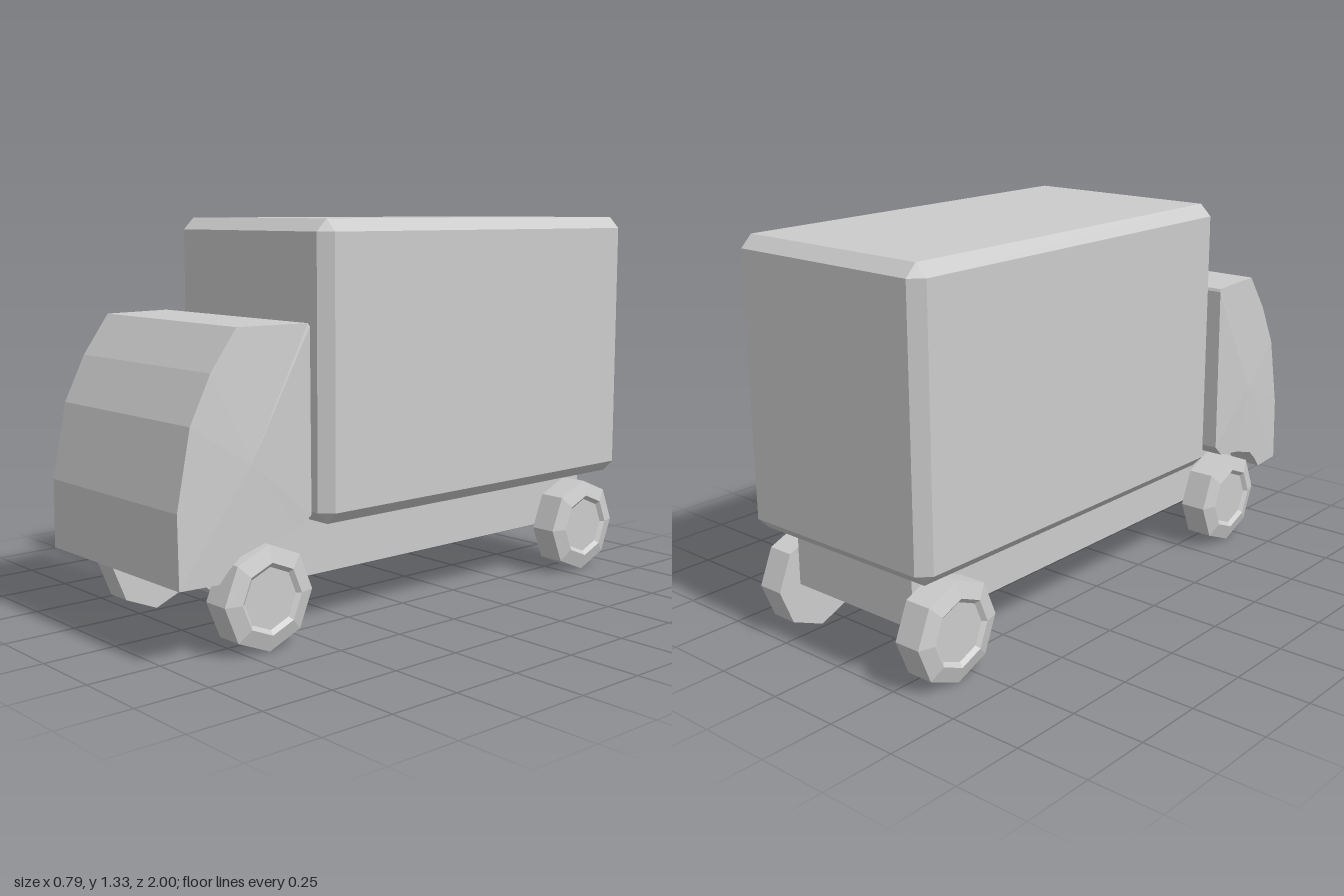
import * as THREE from 'three';
import { ConvexGeometry } from 'three/addons/geometries/ConvexGeometry.js';

const material = new THREE.MeshStandardMaterial({ color: 0xcccccc, flatShading: true });

function add(parent, name, geometry, x = 0, y = 0, z = 0) {
  const mesh = new THREE.Mesh(geometry, material);
  mesh.name = name;
  mesh.position.set(x, y, z);
  parent.add(mesh);
  return mesh;
}

// Box with every edge cut at 45 degrees: three points at each corner
function chamferedBox(w, h, d, c) {
  const points = [];
  for (const sx of [-1, 1]) for (const sy of [-1, 1]) for (const sz of [-1, 1]) {
    for (let axis = 0; axis < 3; axis++) {
      const inset = [c, c, c];
      inset[axis] = 0;
      points.push(new THREE.Vector3(
        sx * (w / 2 - inset[0]), sy * (h / 2 - inset[1]), sz * (d / 2 - inset[2])));
    }
  }
  return new ConvexGeometry(points);
}

// Closed solid from a side profile of [z, y, half width]; sides fan out from a centre point
function sideProfileSolid(profile, centre) {
  const pos = [];
  const at = ([z, y, w], side) => [side * w, y, z];
  const tri = (...corners) => corners.forEach((p) => pos.push(...p));
  profile.forEach((a, i) => {
    const b = profile[(i + 1) % profile.length];
    tri(at(a, -1), at(a, 1), at(b, 1));
    tri(at(a, -1), at(b, 1), at(b, -1));
    tri(at(centre, 1), at(b, 1), at(a, 1));
    tri(at(centre, -1), at(a, -1), at(b, -1));
  });
  const geometry = new THREE.BufferGeometry();
  geometry.setAttribute('position', new THREE.Float32BufferAttribute(pos, 3));
  geometry.computeVertexNormals();
  return geometry;
}

export function createModel() {
  const truck = new THREE.Group();
  truck.name = 'boxTruck';

  // Cargo box
  add(truck, 'cargoBox', chamferedBox(0.79, 0.96, 1.47, 0.04), 0, 0.845, -0.265);

  // Cab: curved windscreen, sides bulging towards the rear, cut for the front wheels
  add(truck, 'cab', sideProfileSolid([
    [1.0, 0.25, 0.36], [1.0, 0.48, 0.355], [0.95, 0.73, 0.355], [0.875, 0.88, 0.355],
    [0.78, 1.01, 0.357], [0.53, 1.01, 0.383], [0.525, 1.0, 0.387], [0.525, 0.415, 0.391],
    [0.57, 0.375, 0.388], [0.69, 0.355, 0.382], [0.79, 0.325, 0.378],
    [0.83, 0.29, 0.375], [0.865, 0.25, 0.372],
  ], [0.75, 0.6, 0.384]));

  // Chassis with a sloping nose
  const half = 0.26;
  add(truck, 'chassis', sideProfileSolid([
    [0.79, 0.178, half], [0.88, 0.25, half], [0.88, 0.3, half], [0.8, 0.362, half],
    [-0.92, 0.37, half], [-0.92, 0.178, half],
  ], [0, 0.27, half]));

  // Drive shaft along the middle
  const shaft = new THREE.CylinderGeometry(0.023, 0.023, 1.5, 8);
  shaft.rotateX(Math.PI / 2);
  add(truck, 'driveShaft', shaft, 0, 0.173, -0.08);

  // Axles and eight-sided wheels with recessed hubs
  const tyreProfile = [[0, 0], [0.17, 0], [0.17, 0.095], [0.115, 0.112], [0.1, 0.1], [0, 0.1]]
    .map(([r, h]) => new THREE.Vector2(r, h));
  for (const [end, z] of [['front', 0.67], ['rear', -0.83]]) {
    const axle = new THREE.CylinderGeometry(0.033, 0.033, 0.56, 8);
    axle.rotateZ(Math.PI / 2);
    add(truck, `${end}Axle`, axle, 0, 0.172, z);
    for (const [sideName, side] of [['Left', 1], ['Right', -1]]) {
      const wheel = new THREE.LatheGeometry(tyreProfile, 8);
      wheel.rotateZ(-side * Math.PI / 2);
      add(truck, `${end}${sideName}Wheel`, wheel, side * 0.267, 0.17, z);
    }
  }
  return truck;
}
